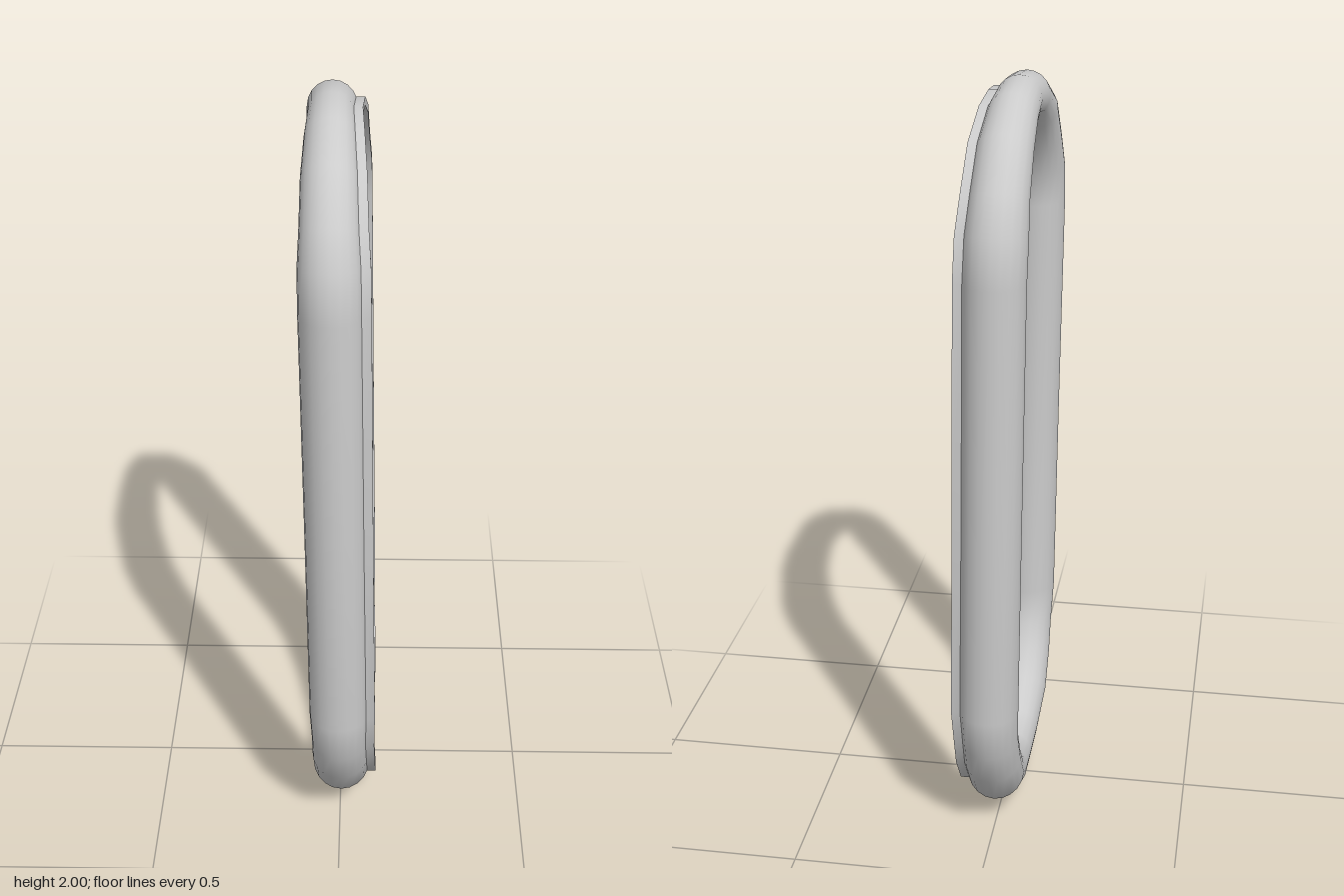
import * as THREE from 'three';
import { toCreasedNormals } from 'three/addons/utils/BufferGeometryUtils.js';

// Half of the loop from top to bottom: [outer z, outer y, inner z, inner y]
const half = [
  [0, 2.0, 0, 1.885],
  [0.132, 1.985, 0.085, 1.87],
  [0.265, 1.92, 0.17, 1.822],
  [0.36, 1.805, 0.23, 1.745],
  [0.41, 1.714, 0.262, 1.675],
  [0.435, 1.592, 0.281, 1.592],
  [0.433, 1.01, 0.28, 1.01],
  [0.435, 0.428, 0.281, 0.428],
  [0.4, 0.3, 0.256, 0.338],
  [0.355, 0.2, 0.222, 0.275],
  [0.265, 0.085, 0.172, 0.212],
  [0.132, 0.022, 0.085, 0.154],
  [0, 0.002, 0, 0.135],
];

// Full closed loop: the half plus its mirror image
const stations = [
  ...half,
  ...half.slice(1, -1).reverse().map(([a, b, c, d]) => [-a, b, -c, d]),
];

// Sweeps a closed section around the loop; section(r) gives [outward, sideways]
// pairs, outward in units of the tube radius and sideways in model units
function sweep(section) {
  const pos = [], index = [];
  const n = stations.length, m = section(1).length;
  stations.forEach(([oz, oy, iz, iy], i) => {
    const cz = (oz + iz) / 2, cy = (oy + iy) / 2;
    const dz = (oz - iz) / 2, dy = (oy - iy) / 2;
    const r = Math.min(Math.hypot(dz, dy), 0.077);
    const cx = -0.01 - (cy - 1) * 0.0155; // the loop leans slightly sideways
    section(r).forEach(([s, x], j) => {
      pos.push(cx + x, cy + dy * s, cz + dz * s);
      const k = (i + 1) % n, l = (j + 1) % m;
      const a = i * m + j, b = k * m + j, c = k * m + l, d = i * m + l;
      index.push(a, b, d, b, c, d);
    });
  });
  const geo = new THREE.BufferGeometry();
  geo.setAttribute('position', new THREE.Float32BufferAttribute(pos, 3));
  geo.setIndex(index);
  geo.computeVertexNormals();
  return geo;
}

export function createModel() {
  const group = new THREE.Group();
  const material = new THREE.MeshStandardMaterial({ color: 0xcccccc });
  const add = (name, geo) => {
    const mesh = new THREE.Mesh(geo, material);
    mesh.name = name;
    group.add(mesh);
  };

  // Round tube
  const sides = 20;
  add('tubeRing', sweep((r) => Array.from({ length: sides }, (_, j) => {
    const a = (j / sides) * Math.PI * 2;
    return [Math.cos(a), r * Math.sin(a)];
  })));

  // Thin raised rib along the left face of the tube
  const rib = sweep((r) => [
    [0.35, r * 0.85], [0.35, r + 0.018], [0.03, r + 0.018], [0.03, r * 0.85],
  ]);
  add('raisedRib', toCreasedNormals(rib, Math.PI / 5));

  return group;
}
